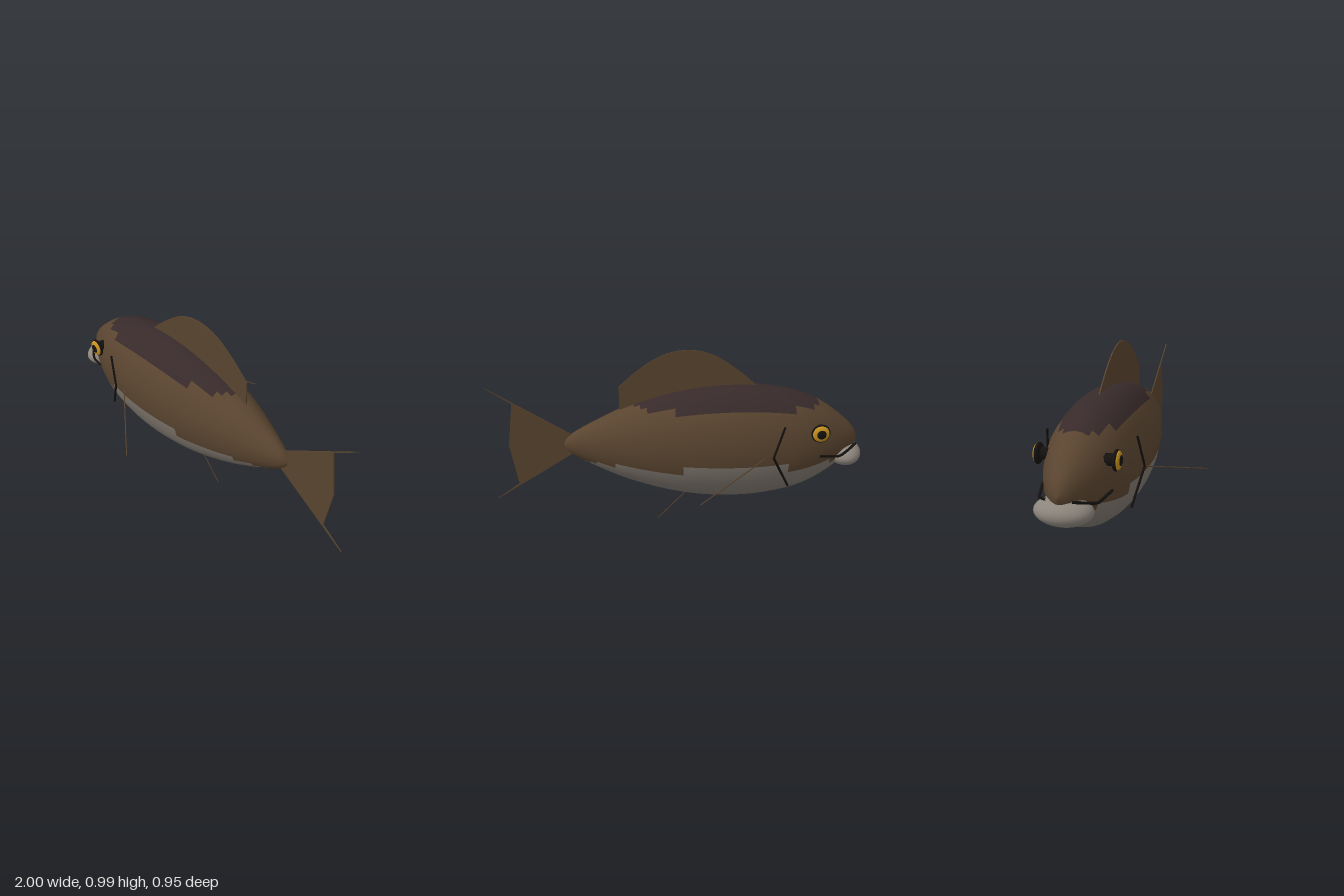
import * as THREE from 'three';

const mat = (name, color, side = THREE.FrontSide) => {
  const m = new THREE.MeshStandardMaterial({ color, side });
  m.name = name;
  return m;
};

export function createModel() {
  const fish = new THREE.Group();
  fish.name = 'fish';
  const brown = mat('brown skin', 0x59442f, THREE.DoubleSide);
  const dark = mat('dark back', 0x382a2a);
  const pale = mat('pale belly', 0x7d756c);
  const lip = mat('grey mouth', 0x8c857c);
  const black = mat('black', 0x14110f);
  const gold = mat('gold eye', 0xc8921f);

  const add = (name, geo, material, parent = fish) => {
    const m = new THREE.Mesh(geo, material);
    m.name = name;
    parent.add(m);
    return m;
  };
  const V = (p) => new THREE.Vector3(...p);

  // Body: spindle turned about the x axis and flattened sideways
  const MID = 0.481;
  const outline = new THREE.SplineCurve([
    [0, -0.975], [0.035, -0.965], [0.085, -0.93], [0.163, -0.84], [0.227, -0.74], [0.276, -0.62],
    [0.309, -0.45], [0.318, -0.3], [0.311, -0.15], [0.288, 0], [0.249, 0.15], [0.19, 0.315],
    [0.105, 0.49], [0.058, 0.57], [0.032, 0.6], [0, 0.615],
  ].map(([r, x]) => new THREE.Vector2(r, x)));
  const points = outline.getSpacedPoints(48);
  points.forEach((p) => { p.x = Math.max(p.x, 0); });
  const body = new THREE.LatheGeometry(points, 32);
  body.rotateZ(-Math.PI / 2).scale(1, 1, 0.707).translate(0, MID, 0);

  // Sort the body's quads by height into skin, back and belly
  const pos = body.attributes.position;
  const index = body.index.array;
  const bins = [[], [], []];
  for (let i = 0; i < index.length; i += 6) {
    const quad = Array.from(index.slice(i, i + 6));
    const ys = [...new Set(quad)].map((v) => pos.getY(v));
    const y = ys.reduce((a, b) => a + b, 0) / ys.length;
    bins[y > 0.697 ? 1 : y < 0.397 ? 2 : 0].push(...quad);
  }
  body.setIndex(bins.flat());
  let start = 0;
  bins.forEach((b, k) => {
    body.addGroup(start, b.length, k);
    start += b.length;
  });
  add('body', body, [brown, dark, pale]);

  // Mouth: wide rounded lips
  const mouth = add('mouth', new THREE.SphereGeometry(1, 32, 20), lip);
  mouth.scale.set(0.095, 0.066, 0.135);
  mouth.position.set(-0.905, 0.4, 0);

  // Upright fins: thin plates in the middle plane
  const plate = (name, shape) => {
    const g = new THREE.ExtrudeGeometry(shape, { depth: 0.006, bevelEnabled: false, curveSegments: 24 });
    g.translate(0, 0, -0.003);
    add(name, g, brown);
  };
  const dorsal = new THREE.Shape();
  dorsal.moveTo(-0.42, 0.785);
  dorsal.splineThru([[-0.31, 0.88], [-0.18, 0.963], [-0.05, 0.992], [0.08, 0.967], [0.2, 0.895], [0.312, 0.8]]
    .map((p) => new THREE.Vector2(...p)));
  dorsal.lineTo(0.312, 0.62);
  dorsal.lineTo(-0.3, 0.7);
  plate('dorsalFin', dorsal);
  plate('tailFin', new THREE.Shape([[0.56, 0.43], [0.995, 0.162], [0.87, 0.25], [0.905, 0.483],
    [0.87, 0.718], [1, 0.808], [0.56, 0.53]].map((p) => new THREE.Vector2(...p))));

  // Thin rod between two points
  const rod = (name, a, b, r, material) => {
    const path = new THREE.LineCurve3(V(a), V(b));
    return add(name, new THREE.TubeGeometry(path, 1, r, 8), material);
  };
  rod('pelvicFin', [-0.08, 0.21, 0], [0.118, 0.002, 0], 0.0025, brown);

  // Paired parts
  for (const s of [1, -1]) {
    const side = s > 0 ? 'left' : 'right';
    rod(side + 'PectoralFin', [-0.46, 0.472, s * 0.2], [-0.08, 0.356, s * 0.475], 0.003, brown);

    // Bent gill line
    const bend = [-0.475, 0.481, s * 0.243];
    rod(side + 'GillUpper', [-0.53, 0.645, s * 0.221], bend, 0.006, black);
    rod(side + 'GillLower', bend, [-0.565, 0.3, s * 0.204], 0.006, black);
    add(side + 'GillBend', new THREE.SphereGeometry(0.006, 8, 6), black).position.set(...bend);

    // Mouth line curling back along the cheek
    const crease = new THREE.CatmullRomCurve3([[-0.958, 0.465, s * 0.055], [-0.9, 0.445, s * 0.105],
      [-0.85, 0.43, s * 0.135], [-0.8, 0.436, s * 0.148], [-0.735, 0.448, s * 0.165]].map(V));
    add(side + 'MouthLine', new THREE.TubeGeometry(crease, 20, 0.007, 8), black);

    // Eye: black lens, gold iris and black pupil
    const eye = new THREE.Group();
    eye.name = side + 'Eye';
    eye.position.set(-0.727, 0.586, s * 0.185);
    fish.add(eye);
    const lens = (name, r, depth, z, material) => {
      const m = add(name, new THREE.SphereGeometry(1, 28, 16), material, eye);
      m.scale.set(r, r, depth);
      m.position.z = s * z;
    };
    lens('eyeball', 0.05, 0.018, -0.003, black);
    lens('iris', 0.044, 0.016, 0.004, gold);
    lens('pupil', 0.026, 0.01, 0.014, black);
    rod(side + 'EyeSocket', [-0.727, 0.586, s * 0.12], [-0.727, 0.586, s * 0.18], 0.03, black);
  }
  return fish;
}
